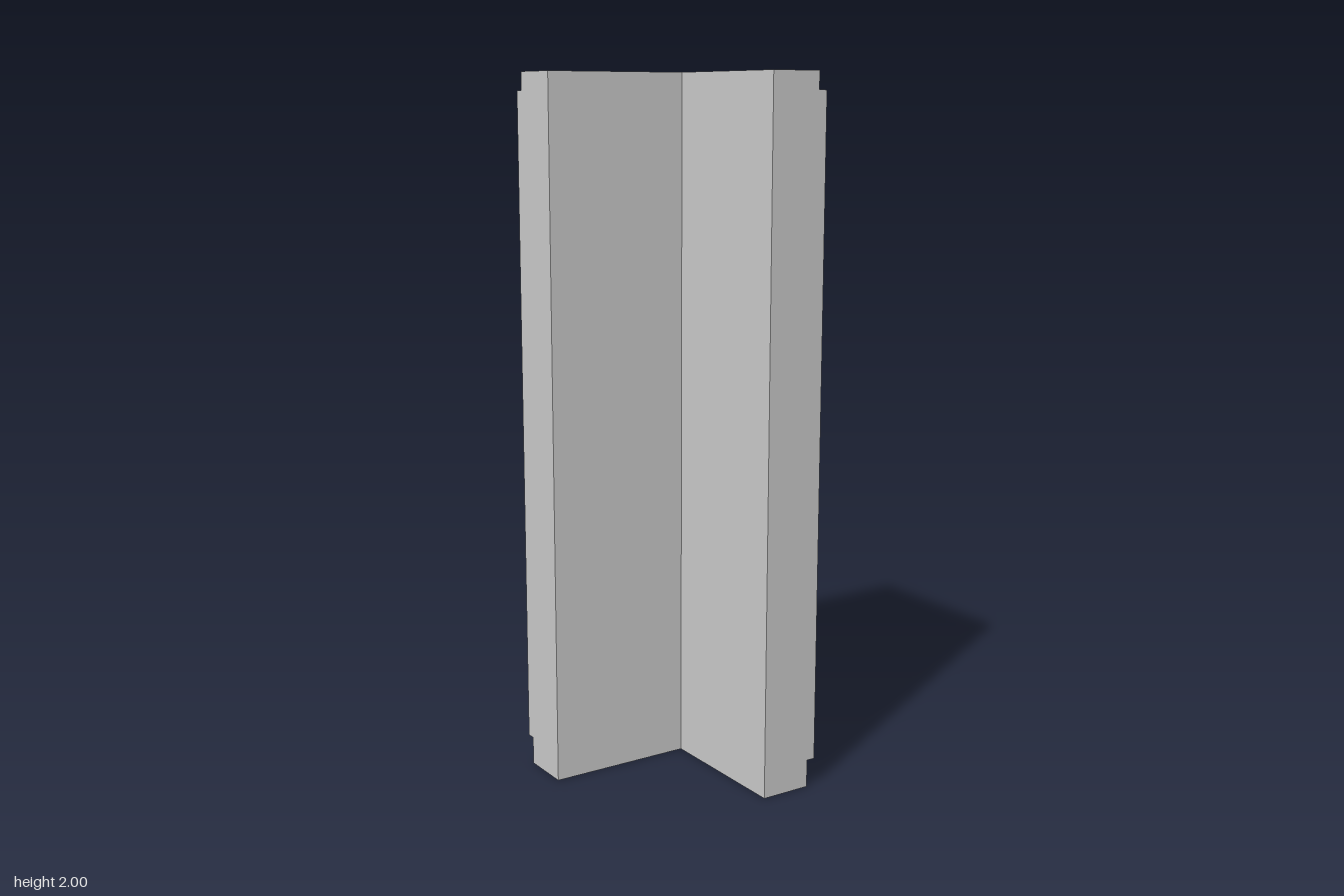
import * as THREE from 'three';

const END = 0.3; // where both legs of the corner stop

// Upright L-shaped slab: its corner points to +x / -z, legs run to x = -END and z = +END
function cornerSlab(name, inner, outer, bottom, top, material) {
  const outline = [
    [-END, -outer], [outer, -outer], [outer, END],
    [inner, END], [inner, -inner], [-END, -inner],
  ];
  const shape = new THREE.Shape(outline.map(([x, z]) => new THREE.Vector2(x, -z)));
  const geometry = new THREE.ExtrudeGeometry(shape, { depth: top - bottom, bevelEnabled: false });
  geometry.rotateX(-Math.PI / 2);
  geometry.translate(0, bottom, 0);
  const mesh = new THREE.Mesh(geometry, material);
  mesh.name = name;
  return mesh;
}

export function createModel() {
  const group = new THREE.Group();
  group.name = 'cornerWall';
  const material = new THREE.MeshStandardMaterial({ color: 0xcccccc, flatShading: true });

  // Full-height wall core
  group.add(cornerSlab('wallCore', 0.125, 0.275, 0, 2, material));
  // Thin outer panel, set back from the top and bottom
  group.add(cornerSlab('outerPanel', 0.275, 0.3, 0.08, 1.95, material));

  return group;
}
